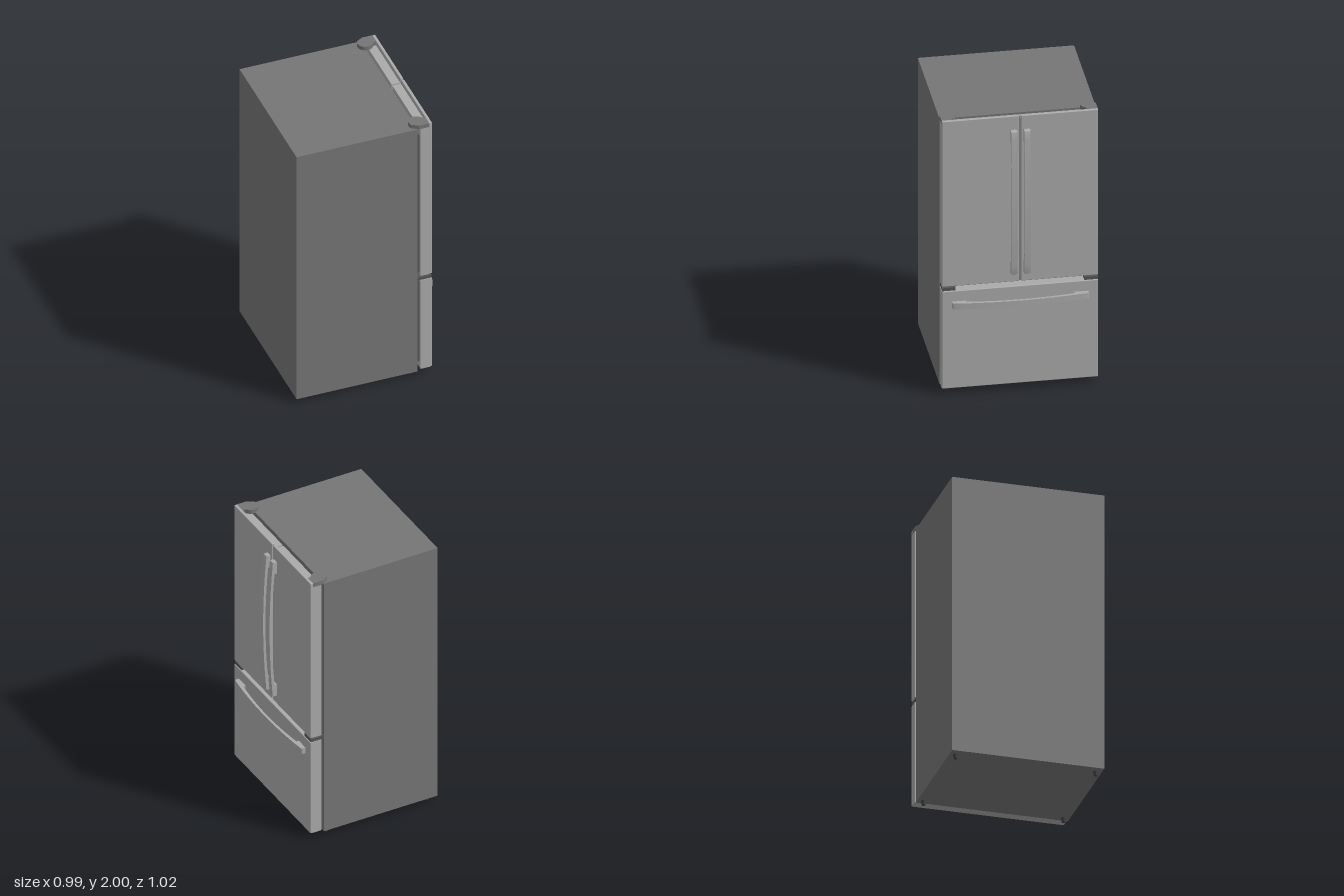
import * as THREE from 'three';
import { RoundedBoxGeometry } from 'three/addons/geometries/RoundedBoxGeometry.js';
import { toCreasedNormals } from 'three/addons/utils/BufferGeometryUtils.js';

function material(name, color) {
  const m = new THREE.MeshStandardMaterial({ color });
  m.name = name;
  return m;
}

export function createModel() {
  const cabinetGrey = material('cabinet grey', 0x757575);
  const steel = material('brushed steel', 0xaaaaaa);
  const darkGrey = material('dark grey', 0x555555);
  const footGrey = material('foot grey', 0x424242);

  const fridge = new THREE.Group();
  fridge.name = 'refrigerator';

  function add(name, geometry, mat, parent = fridge) {
    const mesh = new THREE.Mesh(geometry, mat);
    mesh.name = name;
    parent.add(mesh);
    return mesh;
  }

  // Box given by its limits on each axis; a radius rounds its edges
  function block(name, [x0, x1], [y0, y1], [z0, z1], mat, parent, radius = 0) {
    const size = [x1 - x0, y1 - y0, z1 - z0];
    const geometry = radius ? new RoundedBoxGeometry(...size, 2, radius) : new THREE.BoxGeometry(...size);
    const mesh = add(name, geometry, mat, parent);
    mesh.position.set((x0 + x1) / 2, (y0 + y1) / 2, (z0 + z1) / 2);
    return mesh;
  }

  // Bowed bar with a solid foot at each end, long axis on y, standing out along +x
  function handleGeometry(length, width, reach) {
    const h = length / 2, foot = h - 0.09;
    const s = new THREE.Shape();
    s.moveTo(0, -h);
    s.lineTo(0.024, -h);
    s.quadraticCurveTo(0.031, -h, 0.032, -h + 0.012);
    s.quadraticCurveTo(reach * 2 - 0.032, 0, 0.032, h - 0.012);
    s.quadraticCurveTo(0.031, h, 0.024, h);
    s.lineTo(0, h);
    s.lineTo(0, foot);
    s.lineTo(0.018, foot);
    s.quadraticCurveTo((reach - 0.017) * 2 - 0.018, 0, 0.018, -foot);
    s.lineTo(0, -foot);
    s.closePath();
    const g = new THREE.ExtrudeGeometry(s, { depth: width, bevelEnabled: false, curveSegments: 20 });
    g.translate(0, 0, -width / 2);
    return toCreasedNormals(g, 0.5);
  }

  // Cabinet
  block('cabinet', [-0.5, 0.335], [0.03, 1.97], [-0.51, 0.51], cabinetGrey);

  // Door seals between cabinet and doors
  block('drawerSeal', [0.335, 0.355], [0.1, 0.74], [-0.495, 0.495], darkGrey);
  block('doorSeal', [0.335, 0.355], [0.81, 1.91], [-0.495, 0.495], darkGrey);

  // Freezer drawer with its horizontal handle
  const drawer = new THREE.Group();
  drawer.name = 'freezerDrawer';
  fridge.add(drawer);
  block('drawerBody', [0.355, 0.42], [0.045, 0.755], [-0.51, 0.51], steel, drawer);
  block('drawerFront', [0.412, 0.435], [0.045, 0.755], [-0.51, 0.51], steel, drawer, 0.005);
  const drawerHandle = add('drawerHandle', handleGeometry(0.89, 0.042, 0.059), steel, drawer);
  drawerHandle.rotation.x = Math.PI / 2;
  drawerHandle.position.set(0.434, 0.658, 0);

  for (const side of [-1, 1]) {
    const span = (a, b) => [Math.min(side * a, side * b), Math.max(side * a, side * b)];

    // Upper door: lowered ledge behind a taller front skin
    const door = new THREE.Group();
    door.name = side > 0 ? 'leftDoor' : 'rightDoor';
    fridge.add(door);
    block('doorBody', [0.355, 0.418], [0.79, 1.967], span(0.006, 0.51), steel, door);
    block('doorFront', [0.414, 0.435], [0.79, 2], span(0.006, 0.51), steel, door, 0.005);
    const handle = add('doorHandle', handleGeometry(1.045, 0.04, 0.055), steel, door);
    handle.position.set(0.434, 1.378, side * 0.043);

    // Top hinge cover: a disc with an arm reaching over the door
    const cx = 0.345, cz = 0.458, r = 0.052;
    const s = new THREE.Shape();
    s.moveTo(0.415, side * 0.51);
    s.lineTo(0.415, side * 0.438);
    s.lineTo(0.402, side * 0.438);
    s.quadraticCurveTo(0.395, side * 0.438, 0.391, side * 0.432);
    for (let i = 0; i <= 24; i++) {
      const a = -0.52 - (i / 24) * (1.5 * Math.PI - 0.52 - Math.PI / 2 + 0.52);
      s.lineTo(cx + r * Math.cos(a), side * (cz + r * Math.sin(a)));
      if (a < -1.5 * Math.PI) break;
    }
    s.lineTo(cx, side * 0.51);
    s.closePath();
    const cover = new THREE.ExtrudeGeometry(s, { depth: 0.03, bevelEnabled: false, curveSegments: 6 });
    cover.rotateX(Math.PI / 2);
    add('hingeCover', toCreasedNormals(cover, 0.5), cabinetGrey).position.y = 1.998;

    // Middle hinge bracket in the gap above the drawer
    block('middleHinge', [0.335, 0.43], [0.757, 0.779], span(0.42, 0.508), darkGrey);

    // Levelling feet
    for (const x of [-0.441, 0.297]) {
      add('foot', new THREE.CylinderGeometry(0.018, 0.012, 0.032, 16), footGrey).position.set(x, 0.016, side * 0.47);
    }
  }

  return fridge;
}
